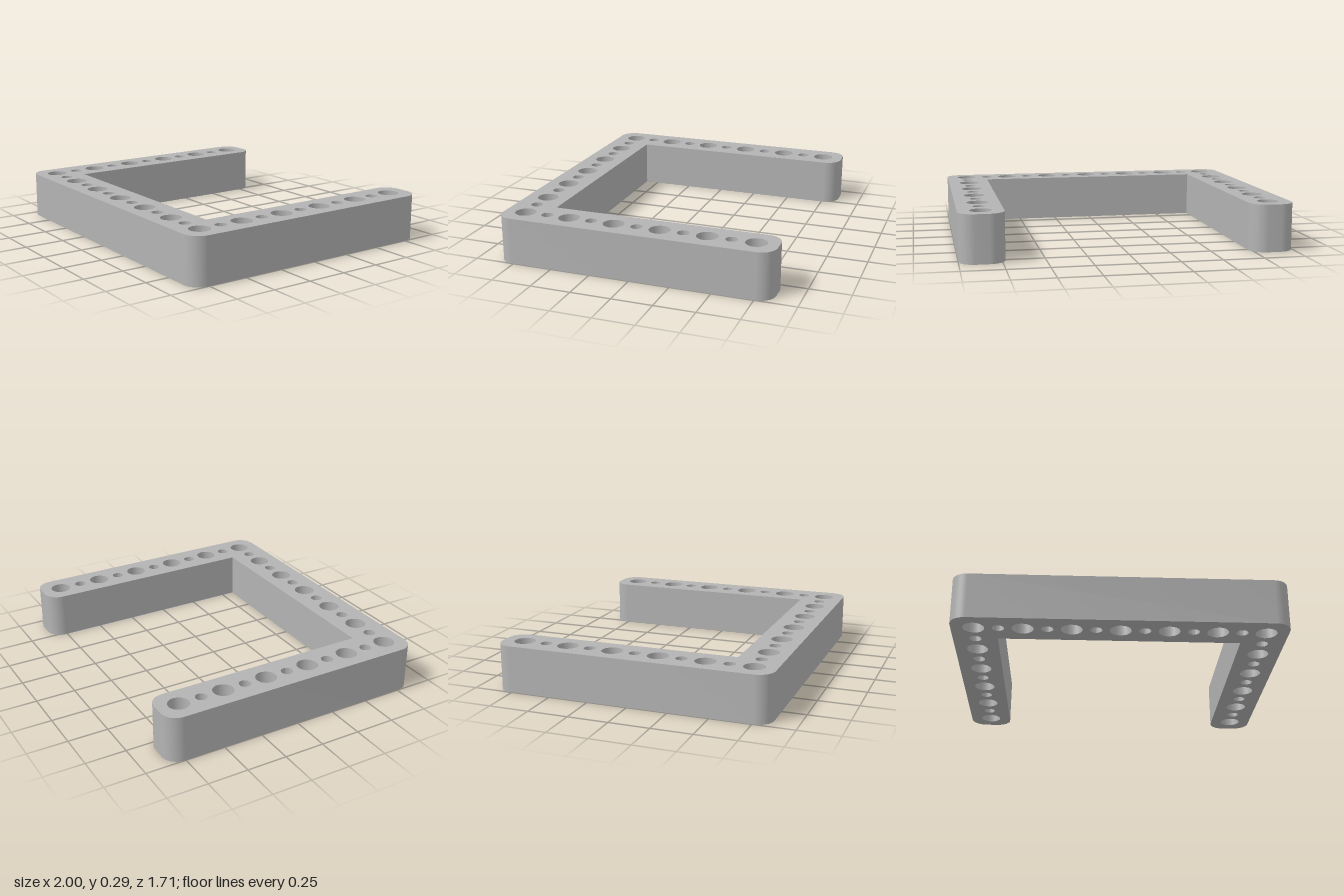
import * as THREE from 'three';
import { toCreasedNormals } from 'three/addons/utils/BufferGeometryUtils.js';

const HEIGHT = 0.288;
const HALF_X = 1, HALF_Z = 0.853;      // outer footprint
const INNER_X = 0.73, INNER_Z = 0.583; // inside faces of the arms and crossbar
const CORNER = 0.096;
const PITCH = 0.2883;                  // spacing of the large holes
const LARGE = 0.064, SMALL = 0.036;

export function createModel() {
  const group = new THREE.Group();
  const grey = new THREE.MeshStandardMaterial({ color: 0xb3b3b3 });
  grey.name = 'grey';

  // U-shaped outline, drawn with shape y = -z
  const q = Math.PI / 2, r = CORNER;
  const shape = new THREE.Shape();
  shape.moveTo(-HALF_X + r, -HALF_Z);
  const corner = (x, y, a) => shape.absarc(x, y, r, a, a + q, false);
  corner(HALF_X - r, -HALF_Z + r, -q);
  corner(HALF_X - r, HALF_Z - r, 0);
  corner(INNER_X + r, HALF_Z - r, q);
  shape.lineTo(INNER_X, -INNER_Z);
  shape.lineTo(-INNER_X, -INNER_Z);
  corner(-INNER_X - r, HALF_Z - r, 0);
  corner(-HALF_X + r, HALF_Z - r, q);
  corner(-HALF_X + r, -HALF_Z + r, 2 * q);

  // Alternating large and small through-holes
  const hole = (x, y, radius) => {
    const path = new THREE.Path();
    path.absarc(x, y, radius, 0, Math.PI * 2, true);
    shape.holes.push(path);
  };
  const size = (i) => (i % 2 ? SMALL : LARGE);
  const rowX = 3 * PITCH, rowY = 2.5 * PITCH;
  for (let i = 0; i <= 12; i++) hole(-rowX + i * PITCH / 2, -rowY, size(i)); // crossbar
  for (const side of [-1, 1]) {
    for (let i = 1; i <= 10; i++) hole(side * rowX, -rowY + i * PITCH / 2, size(i)); // arms
  }

  const extruded = new THREE.ExtrudeGeometry(shape, {
    depth: HEIGHT, bevelEnabled: false, curveSegments: 16,
  });
  extruded.rotateX(-Math.PI / 2);
  const frame = new THREE.Mesh(toCreasedNormals(extruded, 0.6), grey);
  frame.name = 'perforatedFrame';
  group.add(frame);
  return group;
}
